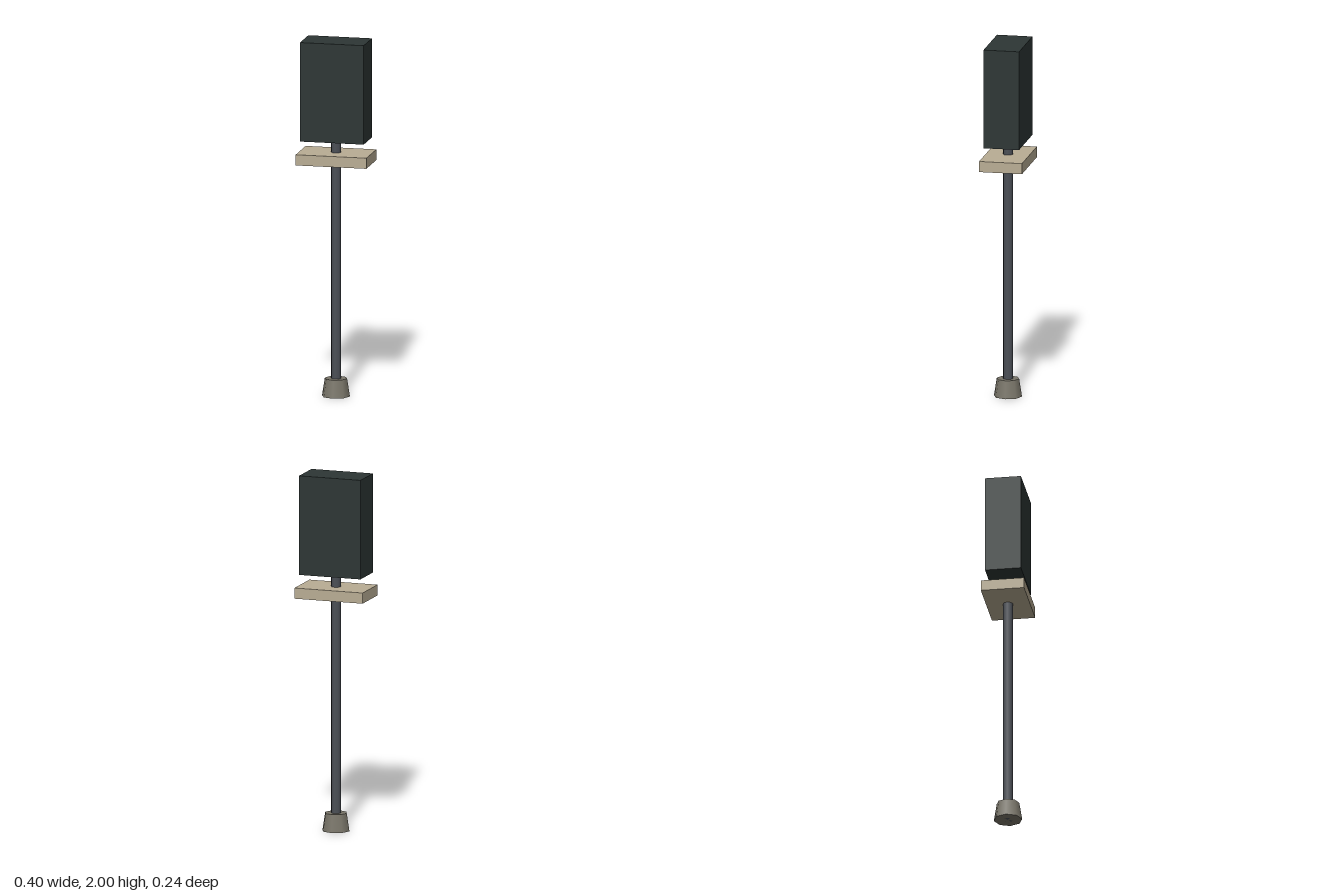
import * as THREE from 'three';

const material = (name, color) => {
  const m = new THREE.MeshStandardMaterial({ color });
  m.name = name;
  return m;
};

export function createModel() {
  const group = new THREE.Group();
  const add = (name, geometry, mat, bottom, top) => {
    const mesh = new THREE.Mesh(geometry, mat);
    mesh.name = name;
    mesh.position.y = (bottom + top) / 2;
    group.add(mesh);
  };

  const stone = material('warm grey stone', 0x7a766a);
  const steel = material('steel grey', 0x4c5057);
  const wood = material('pale beige', 0xb9ad94);
  const dark = material('dark green grey', 0x2d3635);

  // Tapered foot
  add('foot', new THREE.CylinderGeometry(0.063, 0.079, 0.1, 8), stone, 0, 0.1);

  // Pole from the ground to the underside of the box
  add('pole', new THREE.CylinderGeometry(0.028, 0.028, 1.443, 8), steel, 0, 1.443);

  // Shelf around the pole
  add('shelf', new THREE.BoxGeometry(0.4, 0.06, 0.241), wood, 1.312, 1.372);

  // Tall box on top
  add('headBox', new THREE.BoxGeometry(0.36, 0.557, 0.2), dark, 1.443, 2);

  return group;
}
